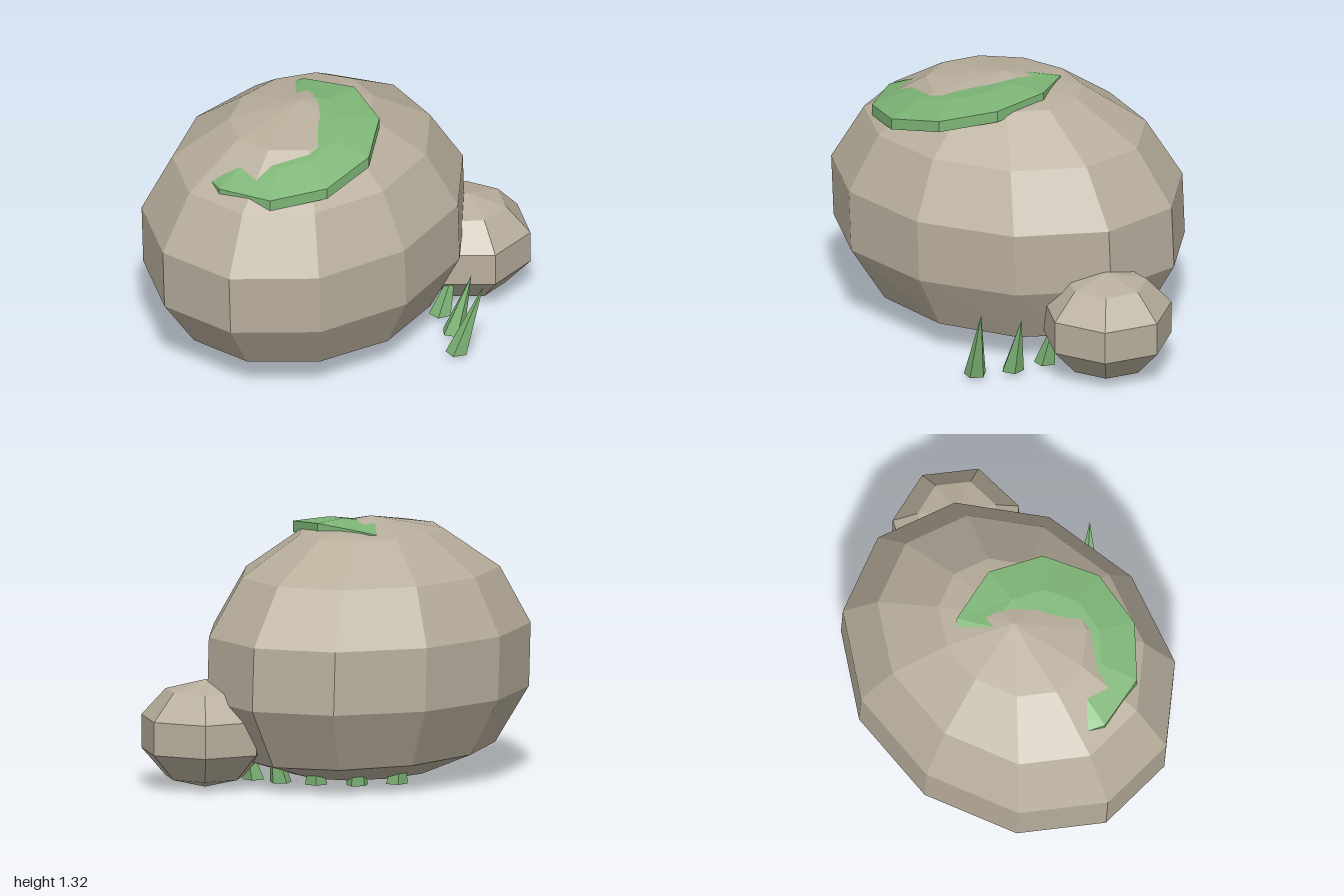
import * as THREE from 'three';

const rockMat = new THREE.MeshStandardMaterial({ color: 0xb8ae9c, flatShading: true });
rockMat.name = 'warm grey stone';
const greenMat = new THREE.MeshStandardMaterial({ color: 0x7db576, flatShading: true });
greenMat.name = 'leaf green';

// Move every vertex of a geometry by a rule
function reshape(geo, rule) {
  const p = geo.attributes.position;
  const v = new THREE.Vector3();
  for (let i = 0; i < p.count; i++) {
    v.fromBufferAttribute(p, i);
    rule(v);
    p.setXYZ(i, v.x, v.y, v.z);
  }
  geo.computeVertexNormals();
  return geo;
}

function part(name, geo, mat) {
  const mesh = new THREE.Mesh(geo, mat);
  mesh.name = name;
  return mesh;
}

export function createModel() {
  const group = new THREE.Group();
  group.name = 'mossyRocks';

  // Large boulder: faceted ellipsoid, leaning slightly, with a flat underside
  const boulder = new THREE.SphereGeometry(1, 11, 7).rotateY(Math.PI);
  reshape(boulder, (v) => {
    const lean = -0.095 - 0.03 * v.y;
    const low = v.y < -0.5 ? 0.02 * v.x : 0;
    v.set(lean + 0.95 * v.x, Math.max(0.04, 0.6 + 0.72 * v.y - low), -0.08 + 0.765 * v.z);
  });
  group.add(part('boulder', boulder, rockMat));

  // Small stone beside it
  const stone = new THREE.SphereGeometry(1, 7, 5).rotateY(Math.PI - 0.23);
  reshape(stone, (v) => v.set(0.68 + 0.345 * v.x, 0.273 + 0.273 * v.y, 0.345 + 0.345 * v.z));
  group.add(part('smallStone', stone, rockMat));

  // Moss cap: thick domed disc, tilted and sunk into the boulder at the back
  const profile = [[0, -0.058], [1, -0.058], [1, 0], [0.6, 0.047], [0, 0.06]]
    .map(([r, y]) => new THREE.Vector2(r, y));
  const moss = new THREE.LatheGeometry(profile, 10, Math.PI / 18);
  reshape(moss, (v) => {
    const x = -0.31 + 0.475 * v.x;
    const z = -0.03 + 0.465 * v.z;
    v.set(x, v.y + 1.27 + 0.21 * x - 0.15 * Math.max(0, -z - 0.12), z);
  });
  group.add(part('mossCap', moss, greenMat));

  // Grass blades: leaning five-sided spikes in an arc [x, z, height, leanX, leanZ]
  const blades = [
    [0.125, 0.715, 0.38, 0.085, 0.1], [0.265, 0.58, 0.31, 0.08, 0.055],
    [0.37, 0.42, 0.28, 0.08, 0.04], [0.43, 0.23, 0.3, 0.08, 0.02],
    [0.43, 0.06, 0.28, 0.08, 0], [0.37, -0.12, 0.3, 0.06, -0.03],
    [0.265, -0.3, 0.28, 0.05, -0.05], [0.1, -0.42, 0.3, 0.02, -0.06],
  ];
  const grass = new THREE.Group();
  grass.name = 'grass';
  blades.forEach(([x, z, h, lx, lz], i) => {
    const blade = new THREE.ConeGeometry(0.058, h, 5).translate(0, h / 2, 0).rotateY(i * 0.7);
    reshape(blade, (v) => {
      const t = v.y / h;
      v.set(x + v.x + lx * t, 0.02 + v.y, z + v.z + lz * t);
    });
    grass.add(part('grassBlade', blade, greenMat));
  });
  group.add(grass);

  return group;
}
